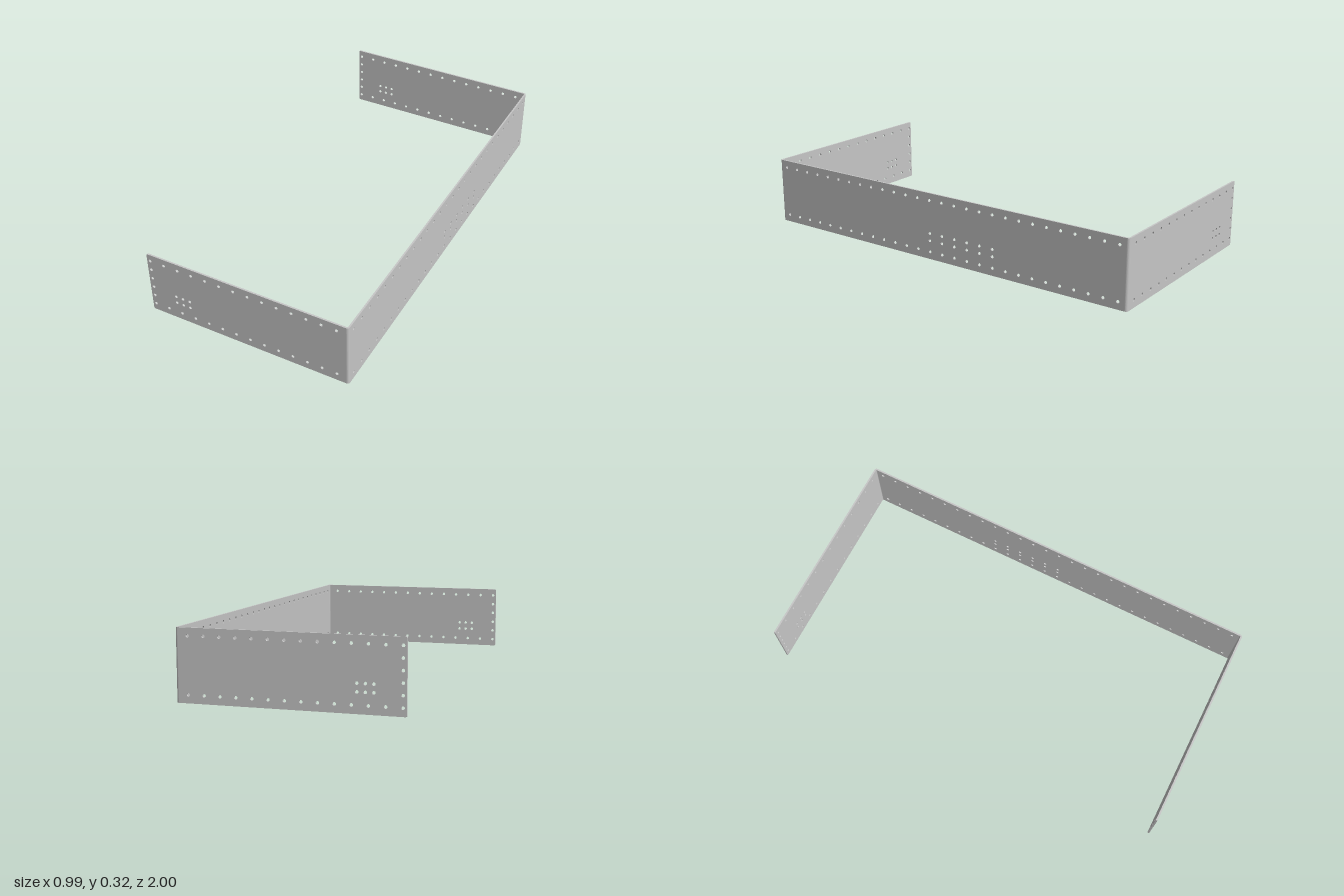
import * as THREE from 'three';

const W = 0.496, H = 0.318, T = 0.008, BEND = 0.012; // half width, height, sheet, bend radius
const STEP = 0.0708, HOLE = 0.0075, LOW = 0.036, HIGH = 0.284;
const CLUSTER_ROWS = [0.09, 0.125];

// Flat sheet from u0 to u1 with round holes; c rounds the corners at u0
function sheet(u0, u1, c, holes) {
  const s = new THREE.Shape();
  s.moveTo(u0 + c, 0);
  s.lineTo(u1, 0);
  s.lineTo(u1, H);
  s.lineTo(u0 + c, H);
  if (c > 0) {
    s.quadraticCurveTo(u0, H, u0, H - c);
    s.lineTo(u0, c);
    s.quadraticCurveTo(u0, 0, u0 + c, 0);
  } else {
    s.lineTo(u0, 0);
  }
  for (const [u, v] of holes) {
    const p = new THREE.Path();
    p.absarc(u, v, HOLE, 0, Math.PI * 2, true);
    s.holes.push(p);
  }
  return new THREE.ExtrudeGeometry(s, { depth: T, bevelEnabled: false, curveSegments: 10 });
}

// Quarter-round fold joining two sheets
function fold(cy, a0) {
  const s = new THREE.Shape();
  s.absarc(W - BEND, cy, BEND, a0, a0 + Math.PI / 2, false);
  s.absarc(W - BEND, cy, BEND - T, a0 + Math.PI / 2, a0, true);
  return new THREE.ExtrudeGeometry(s, { depth: H, bevelEnabled: false, curveSegments: 6 })
    .rotateX(-Math.PI / 2);
}

export function createModel() {
  const group = new THREE.Group();
  const steel = new THREE.MeshStandardMaterial({ color: 0xc6c6c6 });
  steel.name = 'light steel grey';
  const add = (name, geometry) => {
    const mesh = new THREE.Mesh(geometry, steel);
    mesh.name = name;
    group.add(mesh);
  };

  // Hole pattern of the end flanges: two rows, an end column and a small cluster
  const endHoles = [];
  for (let i = 0; i < 14; i++) endHoles.push([-0.48 + i * STEP, LOW], [-0.48 + i * STEP, HIGH]);
  for (let i = 1; i < 5; i++) endHoles.push([-0.48, LOW + (i * (HIGH - LOW)) / 5]);
  for (const v of CLUSTER_ROWS)
    for (let i = 0; i < 3; i++) endHoles.push([-0.361 + i * STEP / 2, v]);

  // Hole pattern of the long web
  const webHoles = [];
  for (let i = 0; i < 28; i++) {
    const u = (i - 13.5) * STEP;
    webHoles.push([u, LOW], [u, HIGH]);
  }
  for (const v of CLUSTER_ROWS)
    for (let i = 0; i < 6; i++) webHoles.push([(i - 0.5) * STEP, v]);

  add('frontFlange', sheet(-W, W - BEND, 0.007, endHoles).translate(0, 0, 1 - T));
  add('backFlange', sheet(-W, W - BEND, 0.007, endHoles).translate(0, 0, -1));
  add('longWeb', sheet(-1 + BEND, 1 - BEND, 0, webHoles)
    .rotateY(Math.PI / 2).translate(W - T, 0, 0));
  add('frontFold', fold(-1 + BEND, -Math.PI / 2));
  add('backFold', fold(1 - BEND, 0));
  return group;
}
